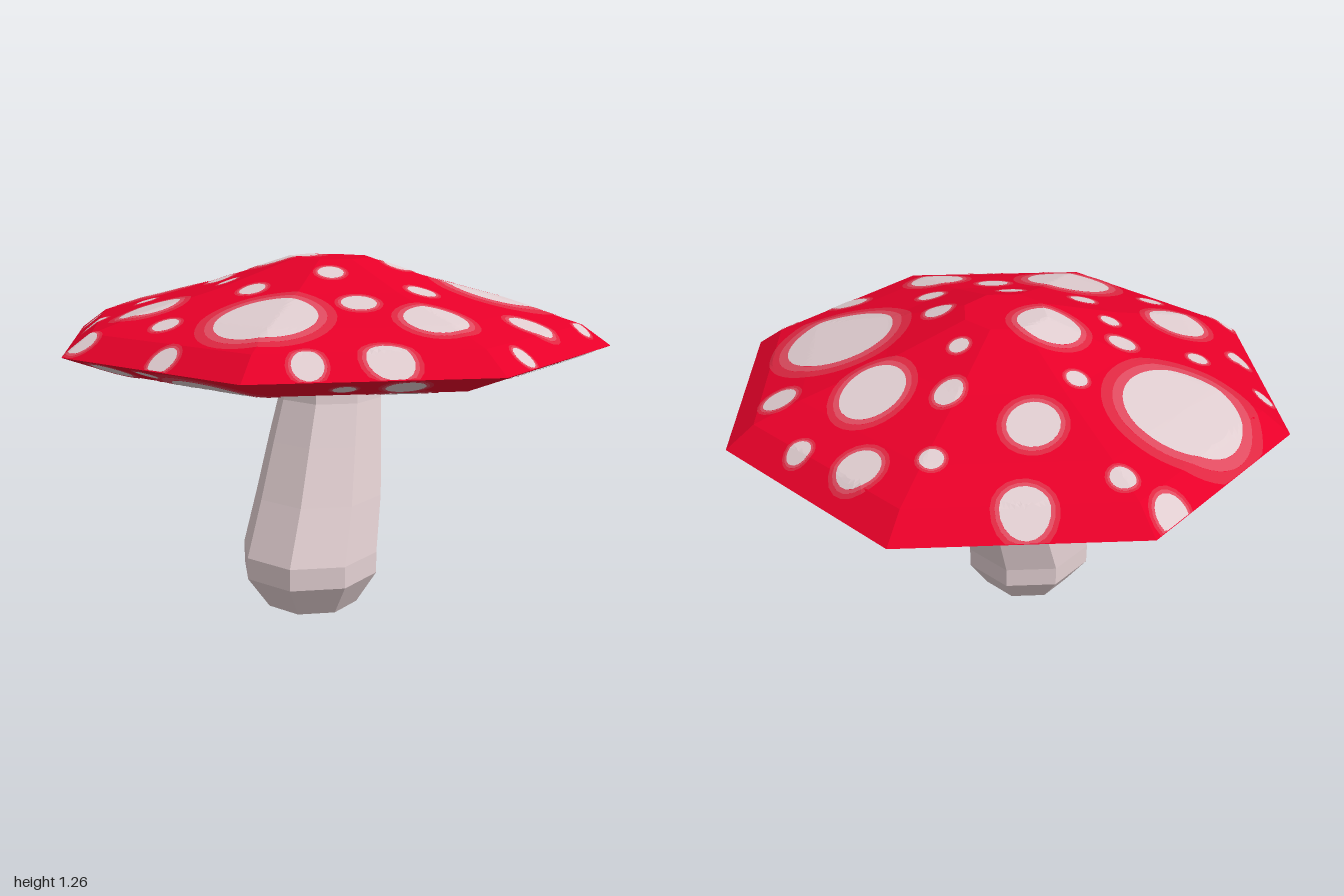
import * as THREE from 'three';
import { mergeGeometries } from 'three/addons/utils/BufferGeometryUtils.js';

const SIDES = 8;
const flat = (name, color) => {
  const m = new THREE.MeshStandardMaterial({ color, flatShading: true });
  m.name = name;
  return m;
};

// Closed octagonal body through sections [y, radius, centreX, centreZ], top to bottom
function loft(sections) {
  const n = sections.length - 1;
  const g = new THREE.CylinderGeometry(1, 1, 1, SIDES, n);
  const p = g.attributes.position;
  for (let i = 0; i < p.count; i++) {
    const [y, r, cx = 0, cz = 0] = sections[Math.round((0.5 - p.getY(i)) * n)];
    p.setXYZ(i, p.getX(i) * r + cx, y, p.getZ(i) * r + cz);
  }
  g.computeVertexNormals();
  return g;
}

// Cap profile, [y, radius]
const capTop = [[1.257, 0.15], [1.165, 0.44], [1.09, 0.74], [1.04, 0.9], [0.97, 1]];
const capUnder = [[0.845, 0.19], [0.9, 0.82], [0.97, 1]];

const stemSections = [
  [0.87, 0.19, 0, 0], [0.75, 0.195, 0, 0.008], [0.6, 0.215, -0.01, 0.042], [0.4, 0.238, -0.022, 0.092],
  [0.2, 0.255, -0.04, 0.155], [0.12, 0.255, -0.04, 0.155], [0, 0.175, -0.035, 0.155],
];

// Octagonal radius of a point: constant along each ring of the cap
function octRadius(x, z) {
  const step = (2 * Math.PI) / SIDES;
  const a = Math.atan2(z, x);
  const off = a - (Math.floor(a / step) + 0.5) * step;
  return (Math.hypot(x, z) * Math.cos(off)) / Math.cos(step / 2);
}

function heightAt(profile, r) {
  if (r <= profile[0][1]) return profile[0][0];
  for (let i = 1; i < profile.length; i++) {
    const [y0, r0] = profile[i - 1], [y1, r1] = profile[i];
    if (r <= r1) return y0 + ((y1 - y0) * (r - r0)) / (r1 - r0);
  }
  return profile[profile.length - 1][0];
}

// Thin elliptical ring draped over the cap; dir is 1 on top, -1 underneath
function patch([cx, cz, rx, rz = rx], inner, outer, lift, dir) {
  const rings = Math.max(2, Math.ceil(((outer - inner) * rx) / 0.016));
  const segments = Math.max(18, Math.ceil(rx * 250));
  const g = new THREE.RingGeometry(inner, outer, segments, rings);
  const p = g.attributes.position;
  const profile = dir > 0 ? capTop : capUnder;
  for (let i = 0; i < p.count; i++) {
    let x = cx + p.getX(i) * rx, z = cz - dir * p.getY(i) * rz;
    const r = octRadius(x, z), k = r > 1 ? 1 / r : 1;
    x *= k;
    z *= k;
    p.setXYZ(i, x, heightAt(profile, r * k) + dir * lift, z);
  }
  g.computeVertexNormals();
  return g;
}

// Spots as [x, z, radiusX, radiusZ]
const topSpots = [
  [-0.665, -0.175, 0.195, 0.195], [0.58, -0.125, 0.19, 0.19], [-0.04, 0.64, 0.162, 0.162],
  [0.29, -0.46, 0.105, 0.128], [-0.26, -0.475, 0.083, 0.093], [-0.165, -0.025, 0.11, 0.1],
  [-0.335, -0.775, 0.075], [0.19, -0.775, 0.07], [-0.02, -0.71, 0.038], [0.42, -0.73, 0.04],
  [0.61, -0.51, 0.055, 0.06], [-0.73, -0.6, 0.055, 0.065], [-0.57, -0.575, 0.04],
  [0.035, -0.435, 0.045, 0.058], [0.08, -0.23, 0.033], [-0.325, -0.23, 0.035],
  [-0.4, 0.065, 0.047], [-0.32, 0.205, 0.033], [-0.89, 0.135, 0.033], [-0.645, 0.18, 0.035],
  [-0.77, 0.34, 0.04], [-0.52, 0.43, 0.103], [-0.175, 0.365, 0.045], [0.065, 0.245, 0.045],
  [0.245, -0.01, 0.048], [0.375, 0.225, 0.048], [0.74, 0.255, 0.072, 0.06], [0.465, 0.49, 0.103],
  [0.21, 0.45, 0.058], [-0.375, 0.635, 0.043], [-0.65, 0.67, 0.05, 0.04], [-0.3, 0.84, 0.045],
  [0.16, 0.88, 0.048], [0.38, 0.78, 0.072, 0.06], [0.74, 0.53, 0.035], [0.9, 0.05, 0.03],
];
const underSpots = [
  [0.65, -0.5, 0.16], [0.79, 0.2, 0.13], [0.5, -0.18, 0.145], [0.1, -0.365, 0.12],
  [0.01, -0.635, 0.105], [-0.13, -0.9, 0.085], [-0.37, -0.325, 0.123], [0.36, 0.58, 0.105],
  [0.185, 0.31, 0.12], [-0.15, 0.67, 0.18], [-0.46, 0.12, 0.077], [-0.75, 0.03, 0.1],
  [-0.61, -0.61, 0.075], [0.83, -0.21, 0.04], [0.38, -0.78, 0.033], [0.51, 0.19, 0.035],
  [-0.58, 0.38, 0.06], [-0.48, -0.67, 0.035], [-0.61, -0.53, 0.03], [-0.54, 0.69, 0.065],
  [0.25, 0.81, 0.035], [0.42, 0.75, 0.06], [-0.38, 0.78, 0.035],
];

export function createModel() {
  const model = new THREE.Group();
  model.name = 'mushroom';
  const add = (name, geometry, material) => {
    const mesh = new THREE.Mesh(geometry, material);
    mesh.name = name;
    model.add(mesh);
  };

  add('stem', loft(stemSections), flat('paleStem', 0xe3d0d2));
  add('cap', loft([...capTop, ...capUnder.slice(0, -1).reverse()]), flat('capRed', 0xea0029));

  // Each spot: pale centre with two fading halo rings
  const layers = [
    ['spotCentres', flat('spotPale', 0xdfcccf), 0, 1, 0.0035],
    ['innerHalos', flat('haloPink', 0xdf4c60), 1, 1.17, 0.003],
    ['outerHalos', flat('haloRed', 0xdf2842), 1.17, 1.36, 0.0025],
  ];
  for (const [name, material, inner, outer, lift] of layers) {
    const parts = [
      ...topSpots.map((s) => patch(s, inner, outer, lift, 1)),
      ...underSpots.map((s) => patch(s, inner, outer, lift, -1)),
    ];
    add(name, mergeGeometries(parts), material);
  }
  return model;
}
